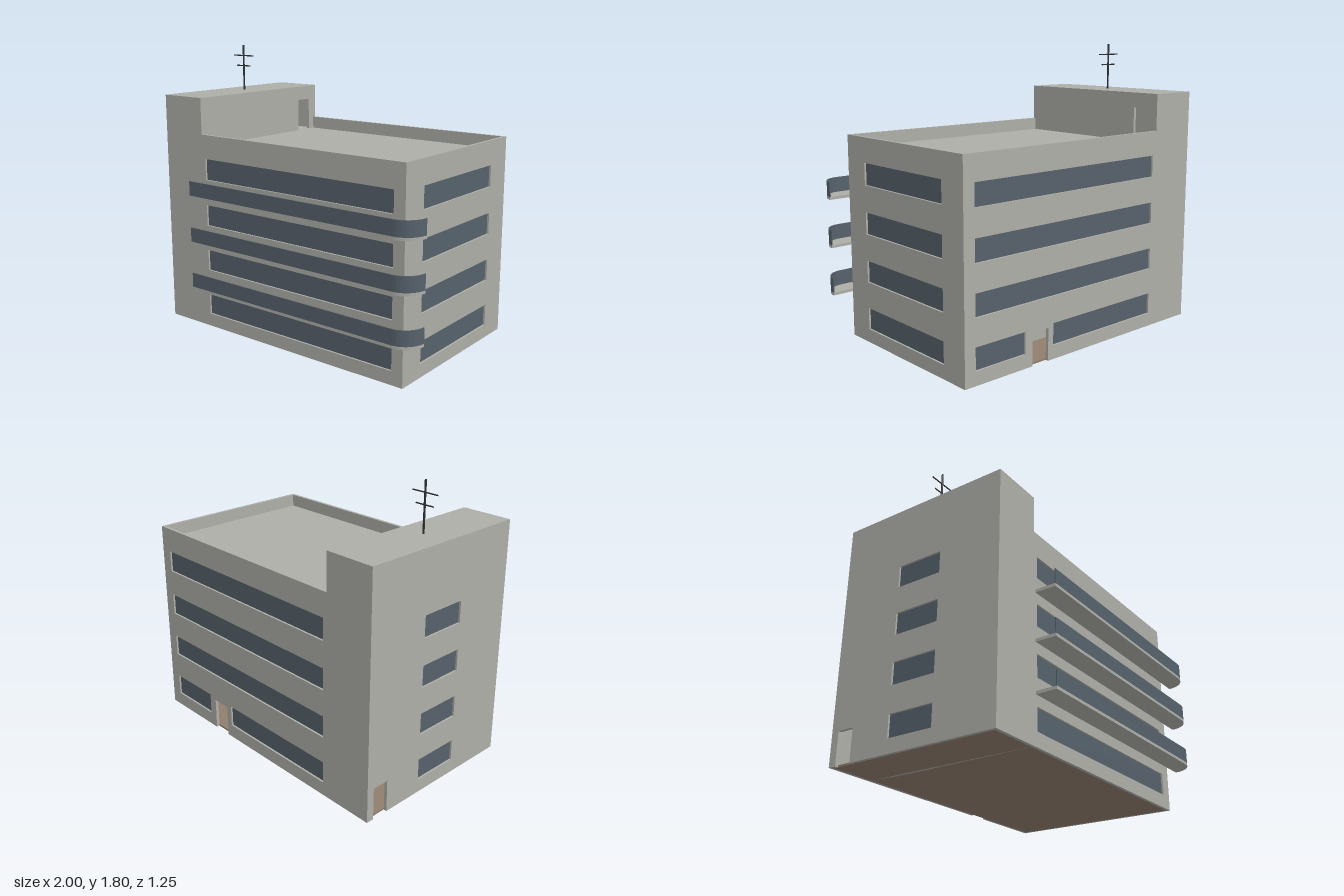
import * as THREE from 'three';

const T = 0.02;                                   // wall thickness
const X0 = -1, X1 = 0.865, XT = -0.675;           // building sides, tower edge
const Z0 = -0.625, Z1 = 0.495;                    // back and front
const ROOF = 1.19, PARAPET = 1.27, TOWER = 1.5;
const STOREYS = [0, 1, 2, 3].map(i => 0.085 + i * 0.299);
const WIN_H = 0.135;

export function createModel() {
  const group = new THREE.Group();
  const mat = (name, color) => {
    const m = new THREE.MeshStandardMaterial({ color });
    m.name = name;
    return m;
  };
  const concrete = mat('concrete', 0xaeaea8);
  const glass = mat('blue grey glass', 0x56616b);
  const flooring = mat('brown flooring', 0x907e6d);
  const metal = mat('dark metal', 0x2e3033);

  const add = (name, geo, material, parent = group) => {
    const m = new THREE.Mesh(geo, material);
    m.name = name;
    parent.add(m);
    return m;
  };
  // Box given by its minimum and maximum corners
  const box = (name, material, a, b, parent) => {
    const m = add(name, new THREE.BoxGeometry(b[0] - a[0], b[1] - a[1], b[2] - a[2]), material, parent);
    m.position.set((a[0] + b[0]) / 2, (a[1] + b[1]) / 2, (a[2] + b[2]) / 2);
    return m;
  };
  // Wall in its own plane: outline, door and window openings [u0, v0, u1, v1];
  // outward tells whether the local +z side is the outside
  const wall = (name, outline, windows, doors, outward) => {
    const g = new THREE.Group();
    g.name = name;
    const shape = new THREE.Shape(outline.map(p => new THREE.Vector2(...p)));
    for (const [u0, v0, u1, v1] of [...windows, ...doors]) {
      shape.holes.push(new THREE.Path([[u0, v0], [u0, v1], [u1, v1], [u1, v0]].map(p => new THREE.Vector2(...p))));
    }
    add(name + 'Panel', new THREE.ExtrudeGeometry(shape, { depth: T, bevelEnabled: false }), concrete, g);
    const z = outward ? 0.002 : T - 0.008;
    for (const [u0, v0, u1, v1] of windows) box('window', glass, [u0, v0, z], [u1, v1, z + 0.006], g);
    group.add(g);
    return g;
  };
  const row = (u0, u1) => STOREYS.map(y => [u0, y, u1, y + WIN_H]);
  const skyline = [[X1, PARAPET], [XT, PARAPET], [XT, TOWER], [X0, TOWER]];

  // Front and back walls, including the tower silhouette
  wall('frontWall', [[X0, 0], [X1, 0], ...skyline], row(-0.648, 0.79), [], true).position.z = Z1 - T;
  const y0 = STOREYS[0];
  wall('backWall',
    [[X0, 0], [0.25, 0], [0.25, 0.2], [0.375, 0.2], [0.375, 0], [X1, 0], ...skyline],
    [...row(-0.648, 0.79).slice(1), [0.43, y0, 0.79, y0 + WIN_H], [-0.648, y0, 0.21, y0 + WIN_H]],
    [], false).position.z = Z0;

  // Side walls, turned so that local x runs along +z
  const sideWall = (x, ...args) => {
    const g = wall(...args);
    g.rotation.y = -Math.PI / 2;
    g.position.x = x;
  };
  const a = Z0 + T, b = Z1 - T;
  sideWall(X1, 'leftWall', [[a, 0], [b, 0], [b, PARAPET], [a, PARAPET]], row(-0.44, 0.315), [], false);
  sideWall(X0 + T, 'rightWall',
    [[a, 0], [-0.577, 0], [-0.577, 0.2], [-0.47, 0.2], [-0.47, 0], [b, 0], [b, TOWER], [a, TOWER]],
    row(-0.208, 0.09), [], true);
  sideWall(XT, 'towerWall', [[a, 0], [b, 0], [b, TOWER], [a, TOWER]], [], [[-0.555, ROOF, -0.44, 1.405]], false);

  // Floors, roof slabs and the wall behind the back entrance
  const ix0 = X0 + T, ix1 = X1 - T;
  box('groundFloor', flooring, [ix0, 0, a], [ix1, 0.012, b]);
  for (const y of STOREYS.slice(1)) box('upperFloor', flooring, [ix0, y - 0.1, a], [ix1, y - 0.085, b]);
  box('mainRoof', concrete, [ix0, ROOF - 0.02, a], [ix1, ROOF, b]);
  box('towerRoof', concrete, [ix0, TOWER - T, a], [XT - T, TOWER, b]);
  box('lobbyWall', concrete, [XT, 0.012, -0.36], [ix1, 0.284, -0.345]);

  // Balconies with one rounded corner and a glass rail
  const bx = -0.662, r = 0.13, cx = 1 - r;
  const plan = new THREE.Shape();
  plan.moveTo(bx, -Z1).lineTo(bx, -Z1 - r).lineTo(cx, -Z1 - r);
  plan.absarc(cx, -Z1, r, -Math.PI / 2, 0, false);
  const rail = new THREE.Shape();
  const w = 0.006;
  rail.moveTo(bx, -Z1 - r).lineTo(cx, -Z1 - r);
  rail.absarc(cx, -Z1, r, -Math.PI / 2, 0, false);
  rail.lineTo(1 - w, -Z1);
  rail.absarc(cx, -Z1, r - w, 0, -Math.PI / 2, true);
  rail.lineTo(bx, -Z1 - r + w);
  const lift = (shape, depth) => new THREE.ExtrudeGeometry(shape, { depth, bevelEnabled: false, curveSegments: 16 })
    .rotateX(-Math.PI / 2);
  const slabGeo = lift(plan, 0.018), railGeo = lift(rail, 0.092);
  for (const y of [0.285, 0.585, 0.884]) {
    add('balconySlab', slabGeo, concrete).position.y = y;
    add('balconyRail', railGeo, glass).position.y = y + 0.018;
  }

  // Roof antenna
  const antenna = new THREE.Group();
  antenna.name = 'antenna';
  antenna.position.set(-0.838, TOWER, -0.065);
  group.add(antenna);
  add('mast', new THREE.CylinderGeometry(0.006, 0.006, 0.3, 8), metal, antenna).position.y = 0.15;
  for (const [y, length] of [[0.23, 0.175], [0.162, 0.122]]) {
    const bar = add('antennaBar', new THREE.CylinderGeometry(0.004, 0.004, length, 8), metal, antenna);
    bar.rotation.z = Math.PI / 2;
    bar.position.y = y;
  }
  return group;
}
